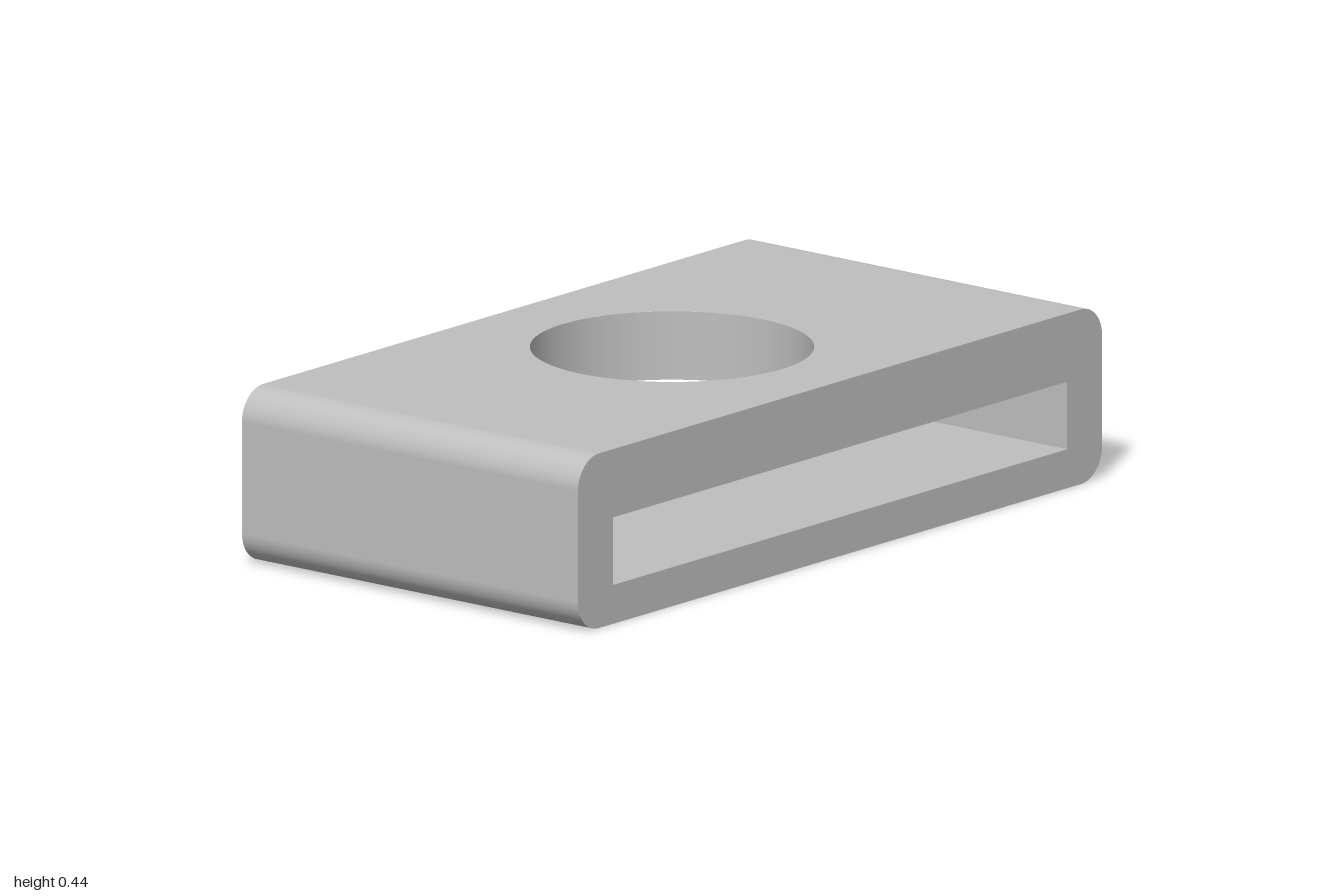
import * as THREE from 'three';

const W = 0.533, L = 1, H = 0.44, R = 0.08;      // half width, half length, height, edge radius
const SLOT = 0.867, FLOOR = 0.098, CEIL = 0.268; // slot half length, bottom and top
const HOLE = 0.347, SIDES = 64;

// Rectangle centred on the origin axis in u, spanning v0..v1
function rect(type, u, v0, v1) {
  const s = new type();
  s.moveTo(-u, v0);
  s.lineTo(u, v0);
  s.lineTo(u, v1);
  s.lineTo(-u, v1);
  s.closePath();
  return s;
}

// Rounded side profile, from the top front edge round the underside to the top back edge
function sideProfile(steps = 12) {
  const corners = [
    [L - R, H - R, 90], [L - R, R, 0], [R - L, R, -90], [R - L, H - R, -180],
  ];
  const pts = [];
  for (const [cz, cy, start] of corners) {
    for (let i = 0; i <= steps; i++) {
      const a = THREE.MathUtils.degToRad(start - 90 * i / steps);
      const nz = Math.cos(a), ny = Math.sin(a);
      pts.push({ z: cz + R * nz, y: cy + R * ny, nz, ny });
    }
  }
  return pts;
}

// Smooth band swept across the width
function bandGeometry(profile) {
  const pos = [], nor = [], idx = [];
  profile.forEach((p, i) => {
    for (const x of [-W, W]) {
      pos.push(x, p.y, p.z);
      nor.push(0, p.ny, p.nz);
    }
    if (i > 0) {
      const a = 2 * i - 2;
      idx.push(a, a + 2, a + 1, a + 1, a + 2, a + 3);
    }
  });
  const g = new THREE.BufferGeometry();
  g.setAttribute('position', new THREE.Float32BufferAttribute(pos, 3));
  g.setAttribute('normal', new THREE.Float32BufferAttribute(nor, 3));
  g.setIndex(idx);
  return g;
}

// Flat panel with a round hole
function holedPanel(halfLength) {
  const s = rect(THREE.Shape, W, -halfLength, halfLength);
  const hole = new THREE.Path();
  hole.absarc(0, 0, HOLE, 0, Math.PI * 2, true);
  s.holes.push(hole);
  return new THREE.ShapeGeometry(s, SIDES);
}

export function createModel() {
  const group = new THREE.Group();
  const grey = new THREE.MeshStandardMaterial({ color: 0xbfbfbf });
  grey.name = 'grey';
  const add = (name, geometry) => {
    const mesh = new THREE.Mesh(geometry, grey);
    mesh.name = name;
    group.add(mesh);
  };

  // Outer skin: rounded front, underside and back, closed by the top panel
  const profile = sideProfile();
  add('outerBand', bandGeometry(profile));
  add('topPanel', holedPanel(L - R).rotateX(-Math.PI / 2).translate(0, H, 0));

  // Slotted side faces
  const side = new THREE.Shape(profile.map((p) => new THREE.Vector2(p.z, p.y)));
  side.holes.push(rect(THREE.Path, SLOT, FLOOR, CEIL));
  for (const s of [1, -1]) {
    add(s > 0 ? 'leftFace' : 'rightFace',
      new THREE.ShapeGeometry(side).rotateY(s * Math.PI / 2).translate(s * W, 0, 0));
  }

  // Slot interior
  add('slotFloor', new THREE.PlaneGeometry(2 * W, 2 * SLOT).rotateX(-Math.PI / 2).translate(0, FLOOR, 0));
  add('slotCeiling', holedPanel(SLOT).rotateX(Math.PI / 2).translate(0, CEIL, 0));
  for (const s of [1, -1]) {
    const wall = new THREE.PlaneGeometry(2 * W, CEIL - FLOOR);
    if (s > 0) wall.rotateY(Math.PI);
    add(s > 0 ? 'slotFrontWall' : 'slotBackWall', wall.translate(0, (FLOOR + CEIL) / 2, s * SLOT));
  }

  // Round hole wall, facing inwards
  add('holeWall', new THREE.LatheGeometry(
    [new THREE.Vector2(HOLE, H), new THREE.Vector2(HOLE, CEIL)], SIDES));

  return group;
}
